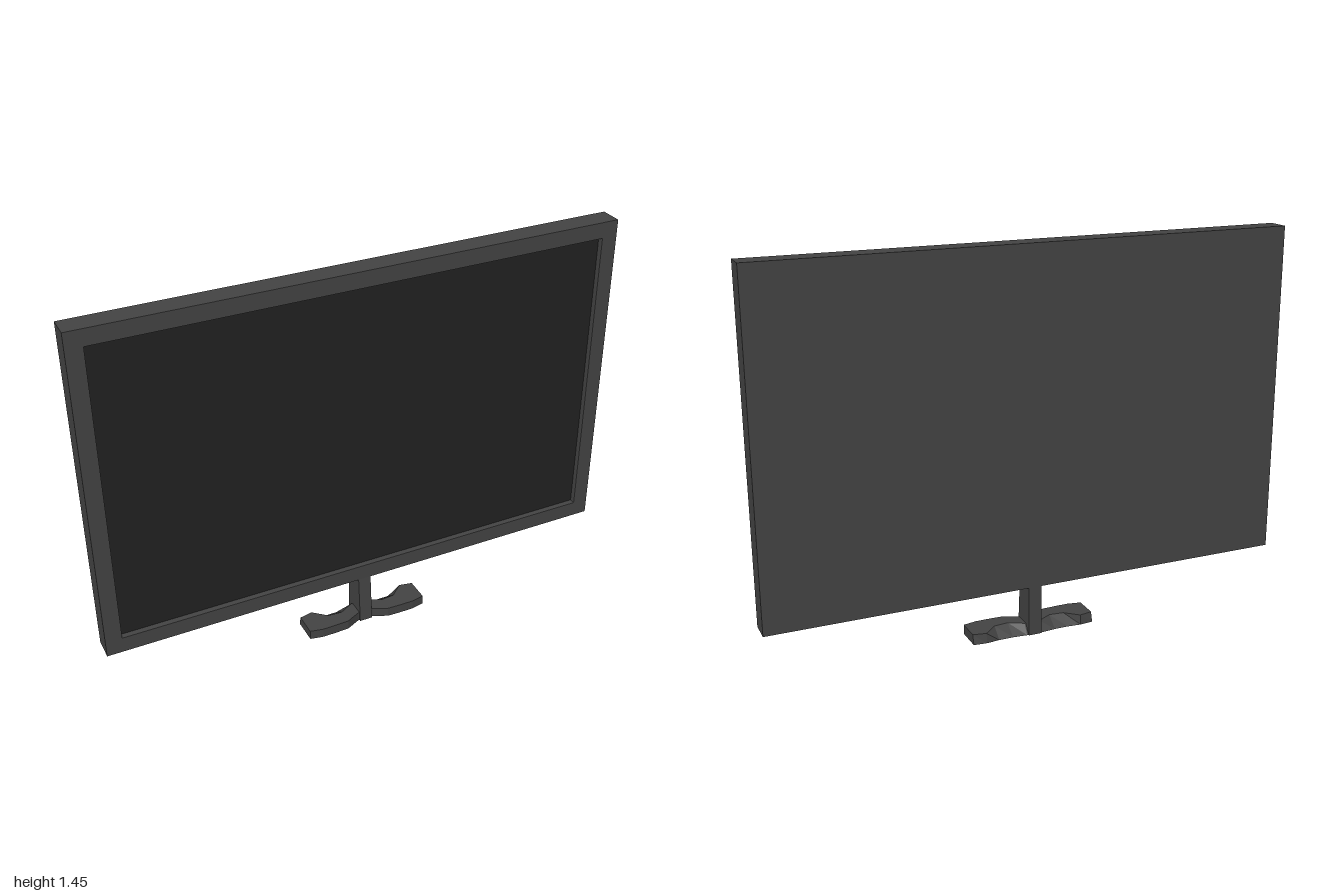
import * as THREE from 'three';

export function createModel() {
  const model = new THREE.Group();
  const casing = new THREE.MeshStandardMaterial({ color: 0x444444 });
  casing.name = 'casingGrey';
  const glass = new THREE.MeshStandardMaterial({ color: 0x222222 });
  glass.name = 'screenBlack';

  function add(name, geometry, material, x = 0, y = 0, z = 0) {
    const mesh = new THREE.Mesh(geometry, material);
    mesh.name = name;
    mesh.position.set(x, y, z);
    model.add(mesh);
    return mesh;
  }

  function rectangle(path, x0, y0, x1, y1) {
    path.moveTo(x0, y0);
    path.lineTo(x1, y0);
    path.lineTo(x1, y1);
    path.lineTo(x0, y1);
    path.closePath();
    return path;
  }

  // Panel: rear housing, raised bezel and recessed screen
  const bottom = 0.19, top = 1.447, rim = 0.06, recess = 0.002;
  const midY = (bottom + top) / 2;
  add('rearHousing', new THREE.BoxGeometry(2, top - bottom, 0.062), casing, 0, midY, -0.029);
  const outline = rectangle(new THREE.Shape(), -1, bottom, 1, top);
  outline.holes.push(rectangle(new THREE.Path(), -1 + rim, bottom + rim, 1 - rim, top - rim));
  add('bezel', new THREE.ExtrudeGeometry(outline, { depth: 0.023, bevelEnabled: false }),
    casing, 0, 0, recess);
  add('screen', new THREE.PlaneGeometry(2 - 2 * rim, top - bottom - 2 * rim), glass,
    0, midY, recess + 0.001);

  // Stem: its front leans forward towards the foot
  const stem = new THREE.BoxGeometry(0.05, bottom, 0.085);
  const p = stem.attributes.position;
  for (let i = 0; i < p.count; i++) {
    if (p.getY(i) < 0 && p.getZ(i) > 0) p.setZ(i, p.getZ(i) + 0.014);
  }
  stem.computeVertexNormals();
  add('stem', stem, casing, 0, bottom / 2, -0.0175);

  // Foot: two wavy arms; each row is x, front z, top back z, bottom back z
  const arm = [
    [0.24, 0.05, -0.04, -0.05],
    [0.19, 0.06, -0.05, -0.055],
    [0.14, 0.06, -0.005, -0.05],
    [0.085, 0.058, 0, -0.05],
    [0.03, 0.032, -0.03, -0.055],
  ];
  const rows = [
    ...arm.map(([x, ...rest]) => [-x, ...rest]),
    ...arm.slice().reverse(),
  ];
  const height = 0.037;
  const points = [];
  for (const [x, front, backTop, backBottom] of rows) {
    points.push(x, 0, front, x, height, front, x, height, backTop, x, 0, backBottom);
  }
  const faces = [0, 1, 2, 0, 2, 3];
  for (let i = 0; i < rows.length - 1; i++) {
    for (let j = 0; j < 4; j++) {
      const a = i * 4 + j, b = i * 4 + (j + 1) % 4;
      faces.push(a, a + 4, b, b, a + 4, b + 4);
    }
  }
  const e = (rows.length - 1) * 4;
  faces.push(e, e + 2, e + 1, e, e + 3, e + 2);
  const indexed = new THREE.BufferGeometry();
  indexed.setAttribute('position', new THREE.Float32BufferAttribute(points, 3));
  indexed.setIndex(faces);
  const foot = indexed.toNonIndexed();
  foot.computeVertexNormals();
  add('foot', foot, casing);

  return model;
}
